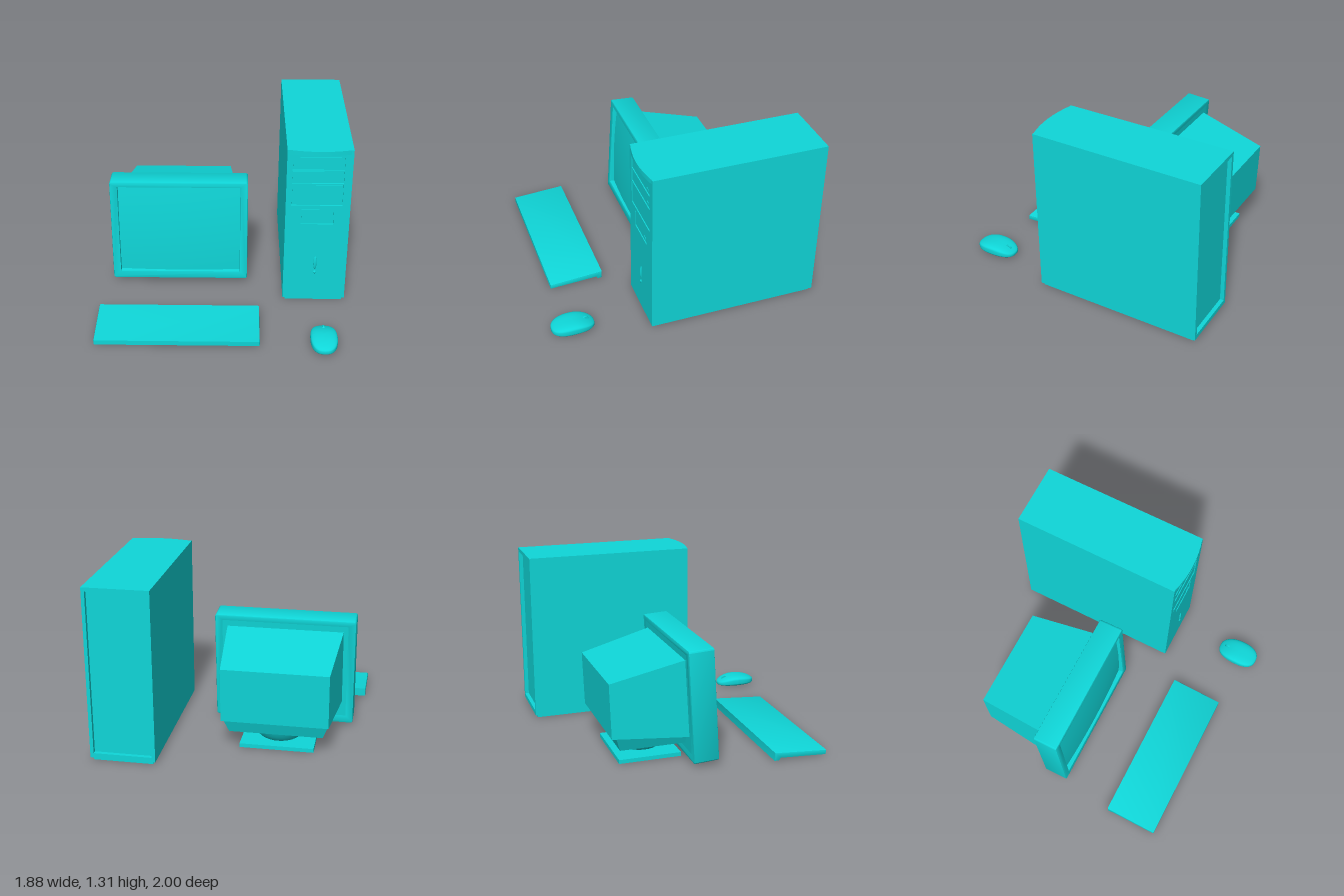
import * as THREE from 'three';
import { toCreasedNormals } from 'three/addons/utils/BufferGeometryUtils.js';

const material = new THREE.MeshStandardMaterial({ color: 0x0fd6d8 });

function add(parent, name, geometry) {
  const mesh = new THREE.Mesh(geometry, material);
  mesh.name = name;
  parent.add(mesh);
  return mesh;
}

function group(parent, name) {
  const g = new THREE.Group();
  g.name = name;
  parent.add(g);
  return g;
}

// Box given by its limits on each axis
function block(x0, x1, y0, y1, z0, z1) {
  return new THREE.BoxGeometry(x1 - x0, y1 - y0, z1 - z0)
    .translate((x0 + x1) / 2, (y0 + y1) / 2, (z0 + z1) / 2);
}

// Moves each vertex of a geometry by a rule
function reshape(geometry, rule) {
  const p = geometry.attributes.position;
  const v = new THREE.Vector3();
  for (let i = 0; i < p.count; i++) {
    rule(v.fromBufferAttribute(p, i));
    p.setXYZ(i, v.x, v.y, v.z);
  }
  geometry.computeVertexNormals();
  return geometry;
}

// Rounded rectangle path; also used for holes
function rect(x0, x1, y0, y1, r = 0, path = new THREE.Shape()) {
  if (!r) {
    path.moveTo(x0, y0).lineTo(x1, y0).lineTo(x1, y1).lineTo(x0, y1).closePath();
    return path;
  }
  path.absarc(x1 - r, y0 + r, r, -Math.PI / 2, 0);
  path.absarc(x1 - r, y1 - r, r, 0, Math.PI / 2);
  path.absarc(x0 + r, y1 - r, r, Math.PI / 2, Math.PI);
  path.absarc(x0 + r, y0 + r, r, Math.PI, Math.PI * 1.5);
  path.closePath();
  return path;
}

function extrude(shape, depth, bevel = 0) {
  return new THREE.ExtrudeGeometry(shape, {
    depth: depth - 2 * bevel, bevelEnabled: bevel > 0, bevelSize: bevel,
    bevelThickness: bevel, bevelOffset: -bevel, bevelSegments: 2, curveSegments: 8,
  }).translate(0, 0, bevel);
}

function buildTower(root) {
  const tower = group(root, 'tower');
  add(tower, 'towerFoot', block(0.48, 0.92, 0, 0.03, -0.98, 0.28));
  add(tower, 'towerBody', block(0.46, 0.94, 0.025, 1.31, -0.97, 0.28));

  // Raised rim around the recessed back
  const rim = rect(0.46, 0.94, 0.025, 1.31);
  rim.holes.push(rect(0.485, 0.915, 0.06, 1.28, 0, new THREE.Path()));
  add(tower, 'backRim', extrude(rim, 0.03).translate(0, 0, -1));

  // Front panel with openings for the drive bays
  const bays = [
    [0.5, 0.88, 1.145, 1.25],
    [0.5, 0.88, 1.035, 1.135],
    [0.5, 0.88, 0.85, 1.025],
    [0.575, 0.82, 0.69, 0.82],
  ];
  const panel = rect(0.46, 0.94, 0.025, 1.31);
  for (const b of bays) panel.holes.push(rect(...b, 0, new THREE.Path()));
  add(tower, 'frontPanel', extrude(panel, 0.012).translate(0, 0, 0.28));
  bays.forEach(([x0, x1, y0, y1], i) => {
    const g = 0.005;
    add(tower, 'driveCover', block(x0 + g, x1 - g, y0 + g, y1 - g, 0.275, 0.287));
    if (i !== 2) add(tower, 'driveButton', block(x1 - 0.06, x1 - 0.03, y0 + 0.025, y0 + 0.04, 0.28, 0.291));
  });

  // Bowed lip along the top of the front
  const lip = new THREE.Shape();
  lip.moveTo(0.46, -0.27).lineTo(0.46, -0.287);
  lip.quadraticCurveTo(0.7, -0.357, 0.94, -0.287);
  lip.lineTo(0.94, -0.27);
  add(tower, 'topLip', toCreasedNormals(
    extrude(lip, 0.035).rotateX(-Math.PI / 2).translate(0, 1.275, 0), 0.5));

  // Oval power button and small lamp
  const button = add(tower, 'powerButton', new THREE.SphereGeometry(1, 20, 14));
  button.scale.set(0.013, 0.057, 0.012);
  button.position.set(0.7, 0.345, 0.29);
  const lamp = add(tower, 'powerLamp', new THREE.SphereGeometry(1, 16, 12));
  lamp.scale.set(0.013, 0.013, 0.011);
  lamp.position.set(0.7, 0.262, 0.29);
}

function buildMonitor(root) {
  const monitor = group(root, 'monitor');

  // Bezel leaning back about its lower front edge
  const head = group(monitor, 'monitorFront');
  head.position.set(0, 0.04, 0.065);
  head.rotation.x = -0.057;
  const frame = rect(-0.88, 0.185, 0, 0.845, 0.018);
  frame.holes.push(rect(-0.82, 0.125, 0.065, 0.8, 0, new THREE.Path()));
  add(head, 'bezel', toCreasedNormals(extrude(frame, 0.19, 0.008).translate(0, 0, -0.19), 0.6));
  add(head, 'bezelBack', block(-0.84, 0.145, 0.04, 0.81, -0.188, -0.06));

  // Gently domed glass
  const glass = new THREE.PlaneGeometry(0.95, 0.74, 20, 16);
  reshape(glass, (v) => {
    v.z = -0.008 - 0.018 * (v.x / 0.475) ** 2 - 0.014 * (v.y / 0.37) ** 2;
  });
  add(head, 'screen', glass.translate(-0.3475, 0.4325, 0));

  // Tube housing, narrowing and sloping down to the rear
  add(monitor, 'tubeHousing', reshape(new THREE.BoxGeometry(1, 1, 1), (v) => {
    const front = v.z > 0;
    const up = v.y > 0;
    v.x = front ? -0.35 + 0.885 * v.x : -0.3475 + 0.785 * v.x;
    v.y = front ? (up ? 0.795 : 0.21) : (up ? 0.65 : 0.24);
    v.z = front ? -0.13 : (up ? -0.705 : -0.69);
  }));

  // Tapered underside
  add(monitor, 'housingUnderside', reshape(new THREE.BoxGeometry(1, 1, 1), (v) => {
    const up = v.y > 0;
    v.x = -0.35 + v.x * (up ? 0.78 : 0.69);
    v.z = v.z > 0 ? -0.13 : (up ? -0.66 : -0.62);
    v.y = up ? 0.25 : 0.13;
  }));

  // Swivel bowl and square base plate
  const bowl = [[0, 0.02], [0.13, 0.02], [0.16, 0.04], [0.2, 0.08], [0.22, 0.14], [0, 0.14]]
    .map(([r, y]) => new THREE.Vector2(r, y));
  add(monitor, 'swivel', toCreasedNormals(new THREE.LatheGeometry(bowl, 32), 0.7))
    .position.set(-0.355, 0, -0.375);
  add(monitor, 'basePlate', block(-0.63, -0.08, 0, 0.03, -0.61, -0.14));
}

function buildKeyboard(root) {
  // Side profile as (z, y): sloping slab with a foot at the rear
  const side = [[0.88, 0], [0.88, 0.037], [0.47, 0.066], [0.47, 0.002], [0.505, 0.002], [0.517, 0.02]];
  const shape = new THREE.Shape(side.map(([z, y]) => new THREE.Vector2(z, y)));
  add(root, 'keyboard', toCreasedNormals(
    extrude(shape, 1.22, 0.007).rotateY(-Math.PI / 2).translate(0.275, 0, 0), 0.6));
}

function buildMouse(root) {
  const mouse = group(root, 'mouse');
  const soft = (n, e) => Math.sign(n) * Math.abs(n) ** e;

  // Rounded body: squared-off sphere with a top that falls to both ends
  const body = reshape(new THREE.SphereGeometry(1, 40, 28), (v) => {
    const t = soft(v.z, 0.85);
    const height = t < 0 ? 0.09 - 0.04 * t * t : 0.09 - 0.022 * t * t;
    const y = soft(v.y, 0.5);
    v.x = 0.1 * soft(v.x, 0.8) * (1 + 0.04 * t);
    v.z = 0.8375 + 0.1625 * t;
    v.y = 0.003 + (height - 0.003) * (y + 1) / 2;
  });
  add(mouse, 'mouseBody', body.translate(0.745, 0, 0));

  // Scroll wheel
  add(mouse, 'scrollWheel', new THREE.CylinderGeometry(0.027, 0.027, 0.014, 20)
    .rotateZ(Math.PI / 2).translate(0.745, 0.057, 0.74));
}

export function createModel() {
  const model = new THREE.Group();
  model.name = 'desktopComputer';
  buildTower(model);
  buildMonitor(model);
  buildKeyboard(model);
  buildMouse(model);
  return model;
}
